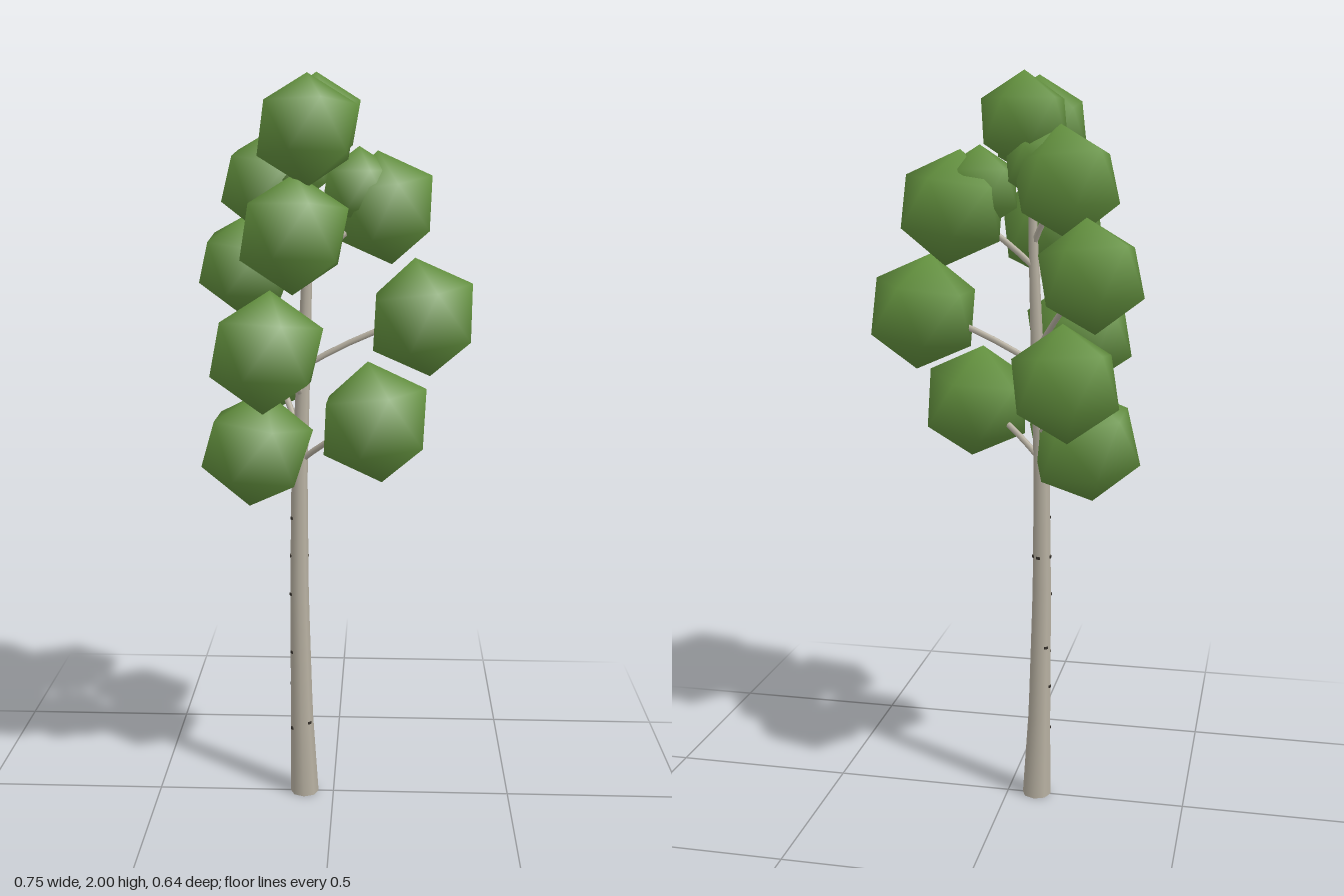
import * as THREE from 'three';

export function createModel() {
  const tree = new THREE.Group();
  tree.name = 'tree';
  const mat = (name, color) => {
    const m = new THREE.MeshStandardMaterial({ color });
    m.name = name;
    return m;
  };
  const bark = mat('paleBark', 0xb9b2a3);
  const scar = mat('darkBarkMark', 0x35302a);
  const leaf = mat('leafGreen', 0x64923f);

  const add = (name, geometry, material) => {
    const mesh = new THREE.Mesh(geometry, material);
    mesh.name = name;
    tree.add(mesh);
    return mesh;
  };

  // Trunk stations: x, y, radius
  const stations = [
    [-0.083, 0, 0.04], [-0.09, 0.25, 0.031], [-0.095, 0.6, 0.026], [-0.093, 0.95, 0.022],
    [-0.08, 1.25, 0.018], [-0.068, 1.55, 0.013], [-0.06, 1.86, 0.006],
  ];
  const trunkAt = (y) => {
    let i = 0;
    while (i < stations.length - 2 && stations[i + 1][1] < y) i++;
    const a = stations[i], b = stations[i + 1];
    const t = (y - a[1]) / (b[1] - a[1]);
    return { x: a[0] + (b[0] - a[0]) * t, r: a[2] + (b[2] - a[2]) * t };
  };

  // Trunk: unit cylinder, each ring moved and scaled to its station
  const rings = 24, top = 1.86;
  const trunk = new THREE.CylinderGeometry(1, 1, top, 8, rings);
  trunk.translate(0, top / 2, 0);
  const p = trunk.attributes.position;
  for (let i = 0; i < p.count; i++) {
    const s = trunkAt(p.getY(i));
    p.setX(i, s.x + p.getX(i) * s.r);
    p.setZ(i, p.getZ(i) * s.r);
  }
  add('trunk', trunk, bark);

  // Small dark marks on the bark: height, angle around the trunk
  const marks = [
    [0.2, 5.2], [0.22, 0.8], [0.33, 4.6], [0.43, 5.3], [0.45, 3.9],
    [0.6, 5.1], [0.71, 1.9], [0.71, 2.9], [0.71, 4.71], [0.82, 5.2],
  ];
  for (const [y, angle] of marks) {
    const s = trunkAt(y);
    const mark = add('barkMark', new THREE.BoxGeometry(0.011, 0.007, 0.004), scar);
    mark.position.set(s.x + Math.sin(angle) * s.r * 0.97, y, Math.cos(angle) * s.r * 0.97);
    mark.rotation.y = angle;
  }

  // Twenty-sided clump standing on a corner, with smooth shading
  const clumpGeometry = (r) => {
    const g = new THREE.IcosahedronGeometry(r, 0);
    g.rotateZ(-Math.atan(2 / (1 + Math.sqrt(5))));
    g.setAttribute('normal', g.attributes.position.clone());
    g.normalizeNormals();
    return g;
  };

  // Leaf clumps: x, y, z, radius, height where the branch leaves the trunk (0 for none)
  const clumps = [
    [-0.062, 1.855, 0.125, 0.14, 1.7],
    [-0.045, 1.873, -0.012, 0.127, 0],
    [-0.165, 1.72, -0.07, 0.147, 1.56],
    [-0.095, 1.77, -0.035, 0.105, 0],
    [0.133, 1.655, -0.065, 0.15, 1.5],
    [0.065, 1.705, -0.045, 0.11, 0],
    [-0.095, 1.6, 0.14, 0.152, 1.45],
    [-0.245, 1.495, -0.165, 0.145, 1.28],
    [0.235, 1.375, 0.01, 0.158, 1.24],
    [-0.165, 1.305, 0.175, 0.158, 1.16],
    [-0.185, 1.225, -0.185, 0.152, 1.04],
    [0.112, 1.115, 0.118, 0.16, 0.98],
    [-0.205, 1.022, 0.035, 0.16, 0.93],
  ];
  for (const [x, y, z, r, from] of clumps) {
    const clump = add('leafClump', clumpGeometry(r), leaf);
    clump.position.set(x, y, z);
    if (!from) continue;

    // Lean the clump towards the trunk
    const s = trunkAt(from);
    const inward = new THREE.Vector3(s.x - x, 0, -z).normalize();
    const axis = new THREE.Vector3(0, 1, 0).cross(inward);
    clump.quaternion.setFromAxisAngle(axis, 0.14);

    // Branch rising from the trunk and levelling out inside the clump
    const start = new THREE.Vector3(s.x, from, 0);
    const end = new THREE.Vector3(x, y, z);
    const middle = start.clone().lerp(end, 0.55);
    middle.y += 0.03;
    const path = new THREE.QuadraticBezierCurve3(start, middle, end);
    add('branch', new THREE.TubeGeometry(path, 5, 0.0085, 6), bark);
  }

  return tree;
}
